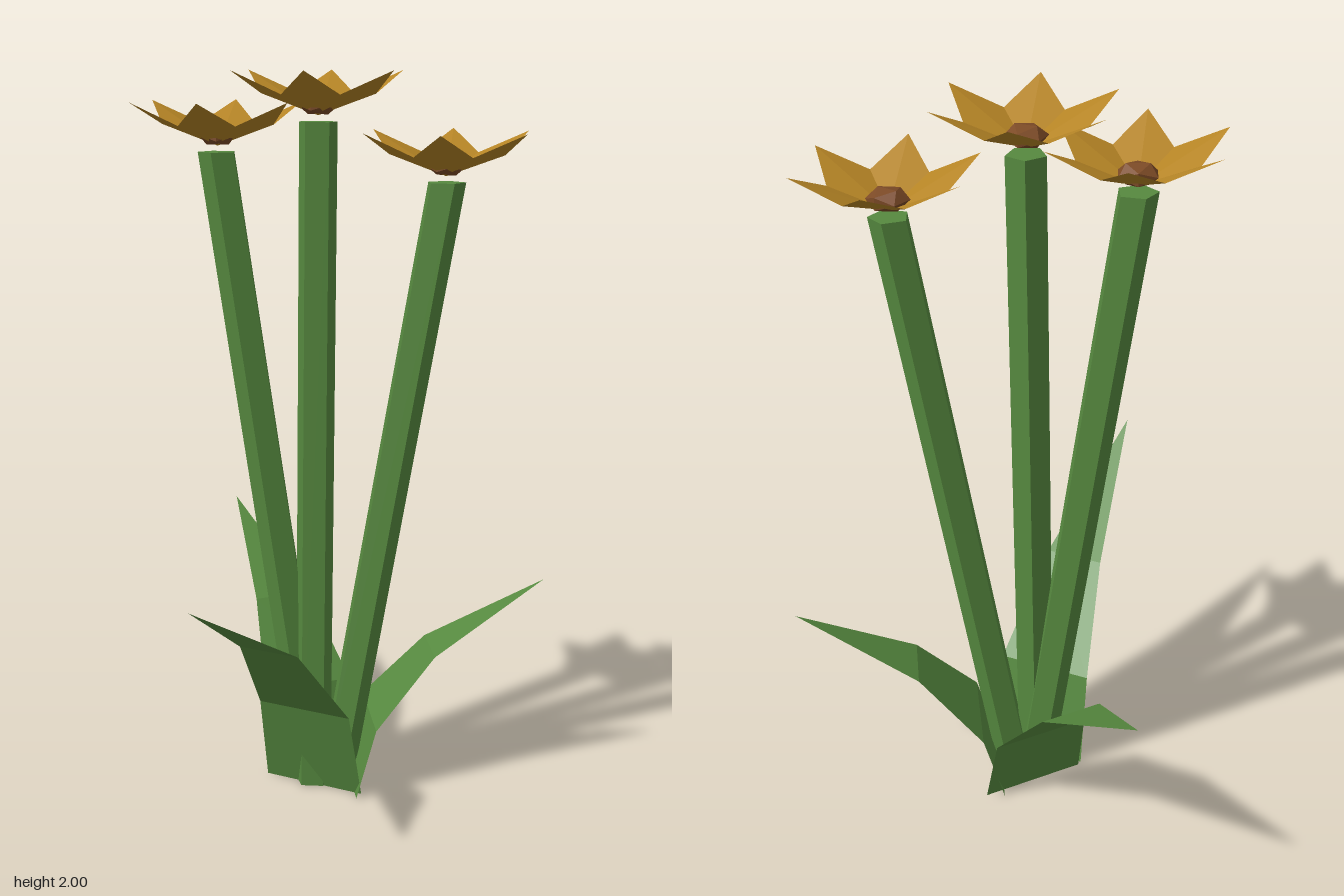
import * as THREE from 'three';

const mat = (name, color, side = THREE.FrontSide) => {
  const m = new THREE.MeshStandardMaterial({ color, side, flatShading: true });
  m.name = name;
  return m;
};

// Faceted surface from a list of triangles, each made of three points
function facets(points) {
  const g = new THREE.BufferGeometry().setFromPoints(points);
  g.computeVertexNormals();
  return g;
}

// Five-sided stem, sheared so both ends stay level
function stemGeometry(base, top, turn) {
  const g = new THREE.CylinderGeometry(0.053, 0.053, top.y, 5);
  g.rotateY(THREE.MathUtils.degToRad(turn));
  g.translate(0, top.y / 2, 0);
  const p = g.attributes.position;
  for (let i = 0; i < p.count; i++) {
    const t = p.getY(i) / top.y;
    p.setX(i, p.getX(i) + THREE.MathUtils.lerp(base[0], top.x, t));
    p.setZ(i, p.getZ(i) + THREE.MathUtils.lerp(base[1], top.z, t));
  }
  const flat = g.toNonIndexed();
  flat.computeVertexNormals();
  return flat;
}

// Shallow cupped six-pointed blossom
function blossomGeometry() {
  const ring = [];
  for (let i = 0; i < 12; i++) {
    const a = (i * Math.PI) / 6, tip = i % 2 === 0;
    const r = tip ? 0.24 : 0.15;
    ring.push(new THREE.Vector3(Math.cos(a) * r, tip ? 0.114 : 0.055, Math.sin(a) * r));
  }
  const pts = [];
  ring.forEach((v, i) => pts.push(new THREE.Vector3(), ring[(i + 1) % 12], v));
  return facets(pts);
}

// Broad blade that bends outwards twice and ends in a point
function leafGeometry(base, tip) {
  const out = new THREE.Vector3(tip[0] - base[0], 0, tip[2] - base[1]);
  const across = new THREE.Vector3(out.z, 0, -out.x).normalize();
  // share of the reach, share of the height, half width
  const rows = [[0, 0, 0.148], [0.1, 0.337, 0.137], [0.41, 0.67, 0.085], [1, 1, 0]]
    .map(([d, h, w]) => [-1, 1].map((s) =>
      new THREE.Vector3(base[0], h * tip[1], base[1])
        .addScaledVector(out, d).addScaledVector(across, s * w)));
  const pts = [];
  for (let i = 0; i < 3; i++) {
    const [a, b] = rows[i], [c, d] = rows[i + 1];
    pts.push(a, b, d);
    if (i < 2) pts.push(a, d, c);
  }
  return facets(pts);
}

export function createModel() {
  const model = new THREE.Group();
  model.name = 'flowerClump';
  const green = mat('leafGreen', 0x56893f);
  const blade = mat('bladeGreen', 0x56893f, THREE.DoubleSide);
  const yellow = mat('petalYellow', 0xb58425, THREE.DoubleSide);
  const brown = mat('centreBrown', 0x7c4a26);

  const add = (name, geometry, material, parent = model) => {
    const mesh = new THREE.Mesh(geometry, material);
    mesh.name = name;
    parent.add(mesh);
    return mesh;
  };

  // Flowers: stem foot (x, z), blossom position, turn of the stem
  const flowers = [
    ['right', [0.037, -0.15], [-0.18, 1.806, 0.01], 22],
    ['middle', [0.055, -0.12], [0.055, 1.886, -0.12], 0],
    ['left', [0.095, -0.175], [0.317, 1.731, -0.33], -13],
  ];
  for (const [side, foot, head, turn] of flowers) {
    const at = new THREE.Vector3(...head);
    const stemTop = at.clone().setY(at.y - 0.016);
    add(side + 'Stem', stemGeometry(foot, stemTop, turn), green);

    const flower = new THREE.Group();
    flower.name = side + 'Flower';
    flower.position.copy(at);
    add('petals', blossomGeometry(), yellow, flower);
    const centre = add('flowerCentre', new THREE.IcosahedronGeometry(0.056, 0), brown, flower);
    centre.scale.y = 0.55;
    centre.position.y = 0.029;
    centre.rotation.y = THREE.MathUtils.degToRad(turn + 15);
    model.add(flower);
  }

  // Leaves: foot (x, z) and tip
  const leaves = [
    ['frontLeaf', [0.075, -0.1], [0.255, 0.77, 0.6]],
    ['rightLeaf', [-0.005, -0.21], [-0.56, 0.66, -0.48]],
    ['leftLeaf', [0.12, -0.21], [0.51, 0.59, -0.6]],
  ];
  for (const [name, foot, tip] of leaves) add(name, leafGeometry(foot, tip), blade);

  return model;
}
